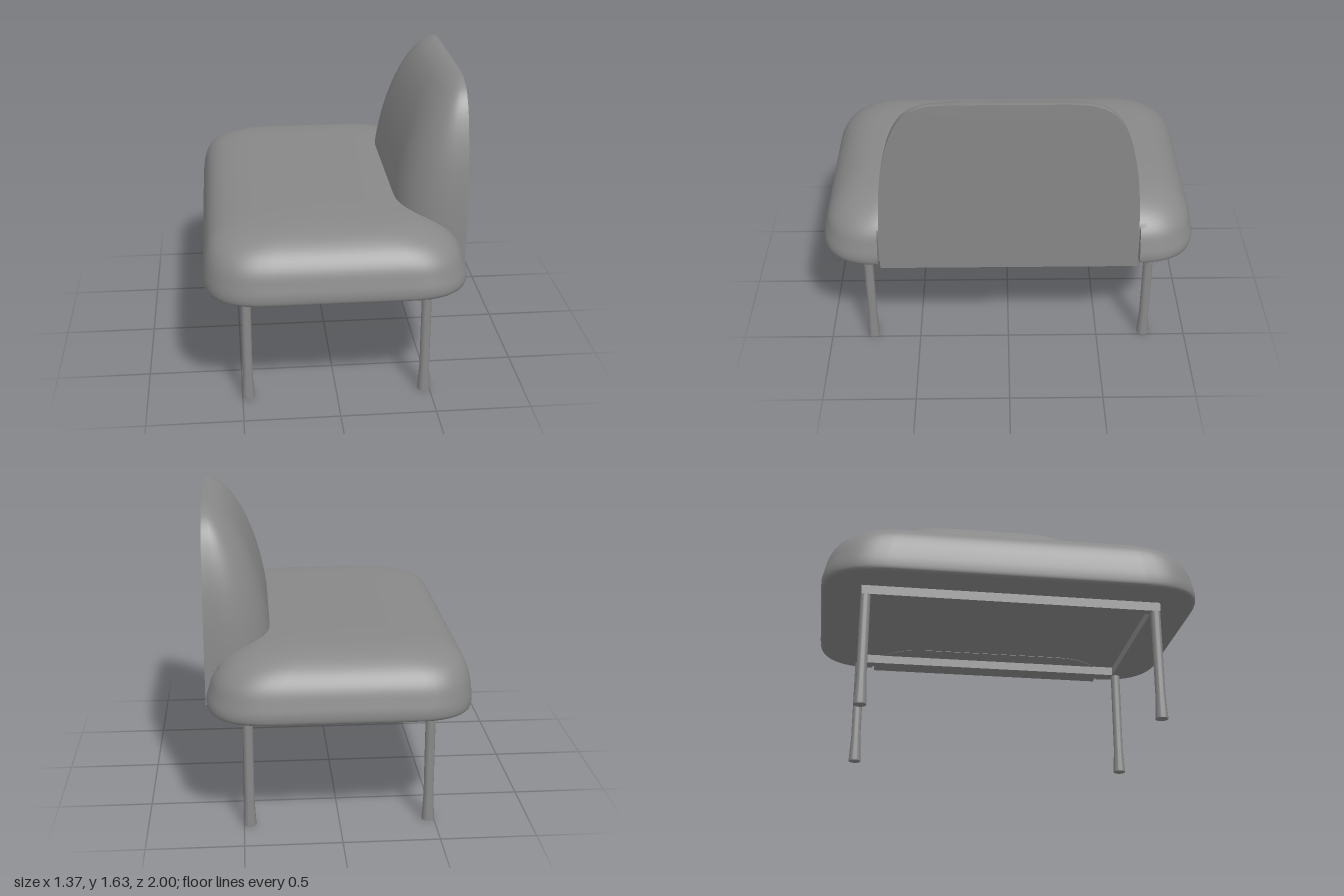
import * as THREE from 'three';
import { toCreasedNormals } from 'three/addons/utils/BufferGeometryUtils.js';

const material = new THREE.MeshStandardMaterial({ color: 0x888888 });

function addMesh(parent, name, geometry, x = 0, y = 0, z = 0) {
  const mesh = new THREE.Mesh(geometry, material);
  mesh.name = name;
  mesh.position.set(x, y, z);
  parent.add(mesh);
}

// Skin closed rings (bottom to top, counter-clockwise from above) and cap both ends
function loft(rings, crease) {
  const n = rings[0].length;
  const pos = [];
  const index = [];
  rings.forEach((ring) => ring.forEach((p) => pos.push(p.x, p.y, p.z)));
  for (let i = 0; i < rings.length - 1; i++) {
    for (let j = 0; j < n; j++) {
      const a = i * n + j, b = i * n + (j + 1) % n;
      index.push(a, b, b + n, a, b + n, a + n);
    }
  }
  [0, rings.length - 1].forEach((r) => {
    const c = new THREE.Vector3();
    rings[r].forEach((p) => c.addScaledVector(p, 1 / n));
    const ci = pos.length / 3;
    pos.push(c.x, c.y, c.z);
    for (let j = 0; j < n; j++) {
      const a = r * n + j, b = r * n + (j + 1) % n;
      if (r === 0) index.push(ci, b, a);
      else index.push(ci, a, b);
    }
  });
  const g = new THREE.BufferGeometry();
  g.setAttribute('position', new THREE.Float32BufferAttribute(pos, 3));
  g.setIndex(index);
  return toCreasedNormals(g, crease);
}

const smooth = (points, count) =>
  new THREE.CatmullRomCurve3(points.map((p) => new THREE.Vector3(...p)), false, 'centripetal').getPoints(count);

// Cosine and sine of a slightly squared quarter circle
const squared = (t, power) => [Math.max(Math.cos(t), 0) ** power, Math.max(Math.sin(t), 0) ** power];

// Rounded cushion ring, with a notch on the +x side that receives the backrest
function seatRing(insetFront, y, inset) {
  const power = 0.78, notchZ = 0.69, notchX = 0.62;
  const r = 0.33 - 0.3 * inset;
  const cz = 1 - inset - r;
  const ratio = THREE.MathUtils.clamp((notchZ - cz) / r, 0, 0.5);
  const notchAngle = Math.asin(ratio ** (1 / power));
  const corner = (sx, sz) => {
    const cx = (sx < 0 ? 0.684 - insetFront : 0.678 - 1.2 * inset) - r;
    const start = sx < 0 ? 0 : notchAngle;
    const points = [];
    for (let i = 0; i <= 12; i++) {
      const [c, s] = squared(start + (Math.PI / 2 - start) * i / 12, power);
      points.push(new THREE.Vector3(sx * (cx + r * c), y, sz * (cz + r * s)));
    }
    if (sx > 0) {
      const p = points[0];
      points.unshift(new THREE.Vector3(Math.min(p.x, notchX), y, p.z - sz * 0.002));
    }
    return points;
  };
  return [...corner(1, -1), ...corner(-1, -1).reverse(), ...corner(-1, 1), ...corner(1, 1).reverse()];
}

// D-shaped ring of the backrest: flat behind, rounded in front
function backRing(halfWidth, y, front) {
  const back = 0.684;
  const a = (back - front) * 0.85;
  const b = Math.min(0.32, halfWidth * 0.6);
  const half = [[back, halfWidth]];
  for (let i = 0; i <= 14; i++) {
    const [c, s] = squared(i / 14 * Math.PI / 2, 0.85);
    half.push([front + a - a * s, halfWidth - b + b * c]);
  }
  return [
    ...half.map(([x, z]) => new THREE.Vector3(x, y, -z)),
    ...half.reverse().map(([x, z]) => new THREE.Vector3(x, y, z)),
  ];
}

export function createModel() {
  const model = new THREE.Group();
  model.name = 'loungeChair';

  // Seat cushion: inset of the -x edge, height, inset of the other edges
  const seatProfile = smooth([
    [0.04, 0.645, 0.04], [0.006, 0.654, 0.006], [0, 0.69, 0], [0.004, 0.75, 0.012],
    [0.017, 0.82, 0.032], [0.043, 0.882, 0.074], [0.094, 0.928, 0.132], [0.175, 0.957, 0.2],
    [0.25, 0.968, 0.265], [0.34, 0.975, 0.35], [0.55, 0.978, 0.55],
  ], 36);
  addMesh(model, 'seatCushion', loft(seatProfile.map((p) => seatRing(p.x, p.y, p.z)), 0.8));

  // Backrest: half width, height and front face position
  const backProfile = smooth([
    [0.677, 0.643, 0.335], [0.675, 0.85, 0.337], [0.67, 0.98, 0.343], [0.66, 1.12, 0.366],
    [0.64, 1.27, 0.405], [0.605, 1.41, 0.457], [0.56, 1.515, 0.514], [0.5, 1.585, 0.571],
    [0.42, 1.622, 0.627], [0.3, 1.635, 0.68],
  ], 40);
  addMesh(model, 'backrest', loft(backProfile.map((p) => backRing(p.x, p.y, p.z)), 0.7));

  // Frame of four bars under the seat
  const frame = new THREE.Group();
  frame.name = 'frame';
  model.add(frame);
  for (const s of [-1, 1]) {
    addMesh(frame, 'longBar', new THREE.BoxGeometry(0.046, 0.052, 1.58), s * 0.47, 0.622, 0);
    addMesh(frame, 'crossBar', new THREE.BoxGeometry(0.894, 0.052, 0.046), 0, 0.622, s * 0.767);
  }

  // Round legs that flare at the foot
  const legProfile = [[0, 0], [0.033, 0], [0.033, 0.012], [0.026, 0.14], [0.026, 0.6], [0, 0.6]]
    .map(([x, y]) => new THREE.Vector2(x, y));
  const legGeometry = toCreasedNormals(new THREE.LatheGeometry(legProfile, 24), 0.6);
  for (const x of [-0.47, 0.47]) {
    for (const z of [-0.767, 0.767]) addMesh(model, 'leg', legGeometry, x, 0, z);
  }
  return model;
}
